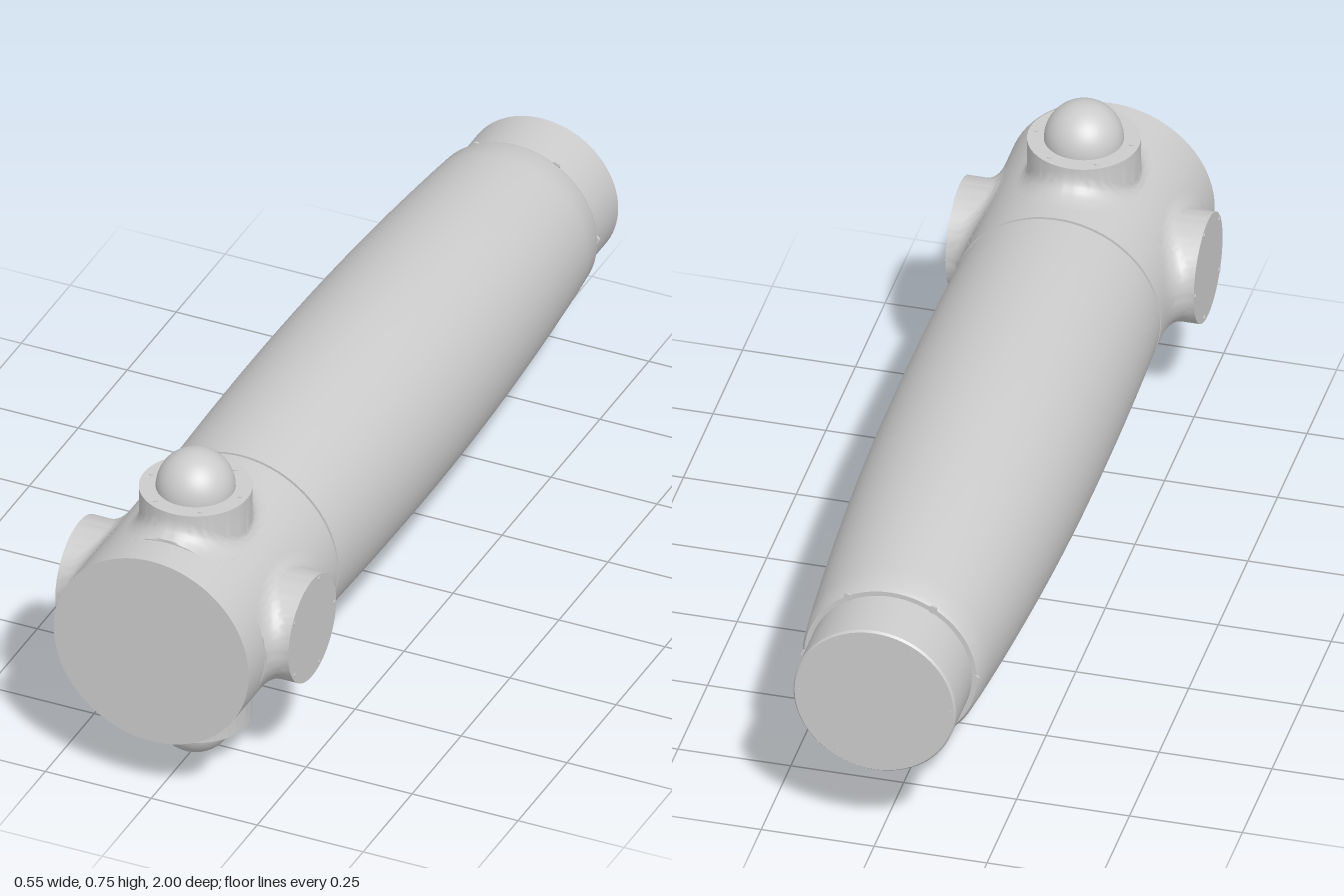
import * as THREE from 'three';
import { toCreasedNormals } from 'three/addons/utils/BufferGeometryUtils.js';

const MAT = new THREE.MeshStandardMaterial({ color: 0xcccccc });
const AXIS_Y = 0.376;  // height of the long axis
const HEAD_R = 0.23;   // head cylinder radius
const BOSS_R = 0.122;
const BOSS_Z = 0.773;

function part(name, geometry, parent) {
  const mesh = new THREE.Mesh(geometry, MAT);
  mesh.name = name;
  parent.add(mesh);
  return mesh;
}

// Turned part along z; points are [radius, z] from back to front
function turned(points) {
  const geo = new THREE.LatheGeometry(points.map(([r, z]) => new THREE.Vector2(r, z)), 80);
  geo.rotateX(Math.PI / 2);
  return toCreasedNormals(geo, 0.5);
}

// Round boss along +y whose foot flares into the head cylinder,
// trimmed flat on its front side
function bossGeometry(top) {
  const N = 96, STEPS = 8, TRIM = 0.147;
  const surface = (r, a) => Math.sqrt(HEAD_R ** 2 - (r * Math.sin(a)) ** 2);
  const pos = [], index = [];
  for (let i = 0; i <= N; i++) {
    const a = (i / N) * Math.PI * 2;
    const flare = 0.02 + 0.045 * Math.cos(a) ** 2;
    const foot = surface(BOSS_R, a), end = BOSS_R + flare;
    const start = Math.min(foot + flare * 0.75, top - 0.004);
    const profile = [[BOSS_R, top]];
    for (let j = 0; j <= STEPS; j++) {
      const t = j / STEPS, s = 1 - t;
      profile.push([
        (s * s + 2 * s * t) * BOSS_R + t * t * end,
        s * s * start + 2 * s * t * foot + t * t * surface(end, a),
      ]);
    }
    profile.push([end, surface(end, a) - 0.01]);
    for (const [r, h] of profile) pos.push(r * Math.sin(a), h, Math.min(r * Math.cos(a), TRIM));
  }
  const M = STEPS + 3;
  for (let i = 0; i < N; i++) {
    for (let j = 0; j < M - 1; j++) {
      const a = i * M + j, d = a + M;
      index.push(a, a + 1, d + 1, a, d + 1, d);
    }
  }
  const geo = new THREE.BufferGeometry();
  geo.setAttribute('position', new THREE.Float32BufferAttribute(pos, 3));
  geo.setIndex(index);
  return toCreasedNormals(geo, 0.5);
}

// Ring of small screw heads around +y
function screwRing(name, count, radius, y, size, parent, phase = 0) {
  const ring = new THREE.Group();
  ring.name = name;
  for (let i = 0; i < count; i++) {
    const a = phase + (i / count) * Math.PI * 2;
    const screw = part('screw', new THREE.CylinderGeometry(size, size, 0.006, 12), ring);
    screw.position.set(radius * Math.sin(a), y, radius * Math.cos(a));
  }
  parent.add(ring);
  return ring;
}

export function createModel() {
  const model = new THREE.Group();
  model.name = 'handle';
  const core = new THREE.Group();
  core.name = 'core';
  core.position.y = AXIS_Y;
  model.add(core);

  // Barrel-shaped grip with a stepped rear shoulder
  const grip = [[0.178, -0.862], [0.191, -0.862], [0.197, -0.85]];
  for (let i = 1; i <= 24; i++) {
    const z = -0.85 + (i / 24) * 1.39;
    const d = z - 0.05;
    grip.push([0.238 - (d < 0 ? 0.05 : 0.035) * d * d, z]);
  }
  grip.push([0.222, 0.54]);
  part('grip', turned(grip), core);

  // Rear plug and the groove ahead of the grip
  part('rearPlug', turned([[0, -1], [0.176, -1], [0.18, -0.995], [0.18, -0.855]]), core);
  part('groove', turned([[0.223, 0.53], [0.223, 0.56]]), core);

  // Head cylinder with flat front face
  part('head', turned([[0.222, 0.547], [HEAD_R, 0.547], [HEAD_R, 1], [0, 1]]), core);

  // Screws on the rear shoulder and rear face
  const rear = new THREE.Group();
  rear.name = 'rearScrews';
  rear.rotation.x = -Math.PI / 2;
  core.add(rear);
  screwRing('shoulderScrews', 6, 0.189, 0.862, 0.009, rear, Math.PI / 6);
  screwRing('rearFaceScrews', 6, 0.166, 0.998, 0.006, rear, Math.PI / 6);

  // Four bosses: domed above and below, flat-capped on the sides
  const names = ['topBoss', 'rightBoss', 'bottomBoss', 'leftBoss'];
  names.forEach((name, k) => {
    const domed = k % 2 === 0;
    const top = domed ? 0.29 : 0.275;
    const boss = new THREE.Group();
    boss.name = name;
    boss.position.z = BOSS_Z;
    boss.rotation.z = k * Math.PI / 2;
    core.add(boss);
    part('bossWall', bossGeometry(top), boss);
    const cap = part('bossCap', new THREE.CircleGeometry(BOSS_R, 96), boss);
    cap.rotation.x = -Math.PI / 2;
    cap.position.y = top;
    if (domed) {
      const dome = part('dome', new THREE.SphereGeometry(0.086, 48, 20, 0, Math.PI * 2, 0, Math.PI / 2), boss);
      dome.position.y = top;
      screwRing('domeScrews', 6, 0.105, top - 0.001, 0.005, boss, Math.PI / 6);
    } else {
      screwRing('capScrews', 5, 0.112, top - 0.001, 0.005, boss, Math.PI);
    }
  });
  return model;
}
